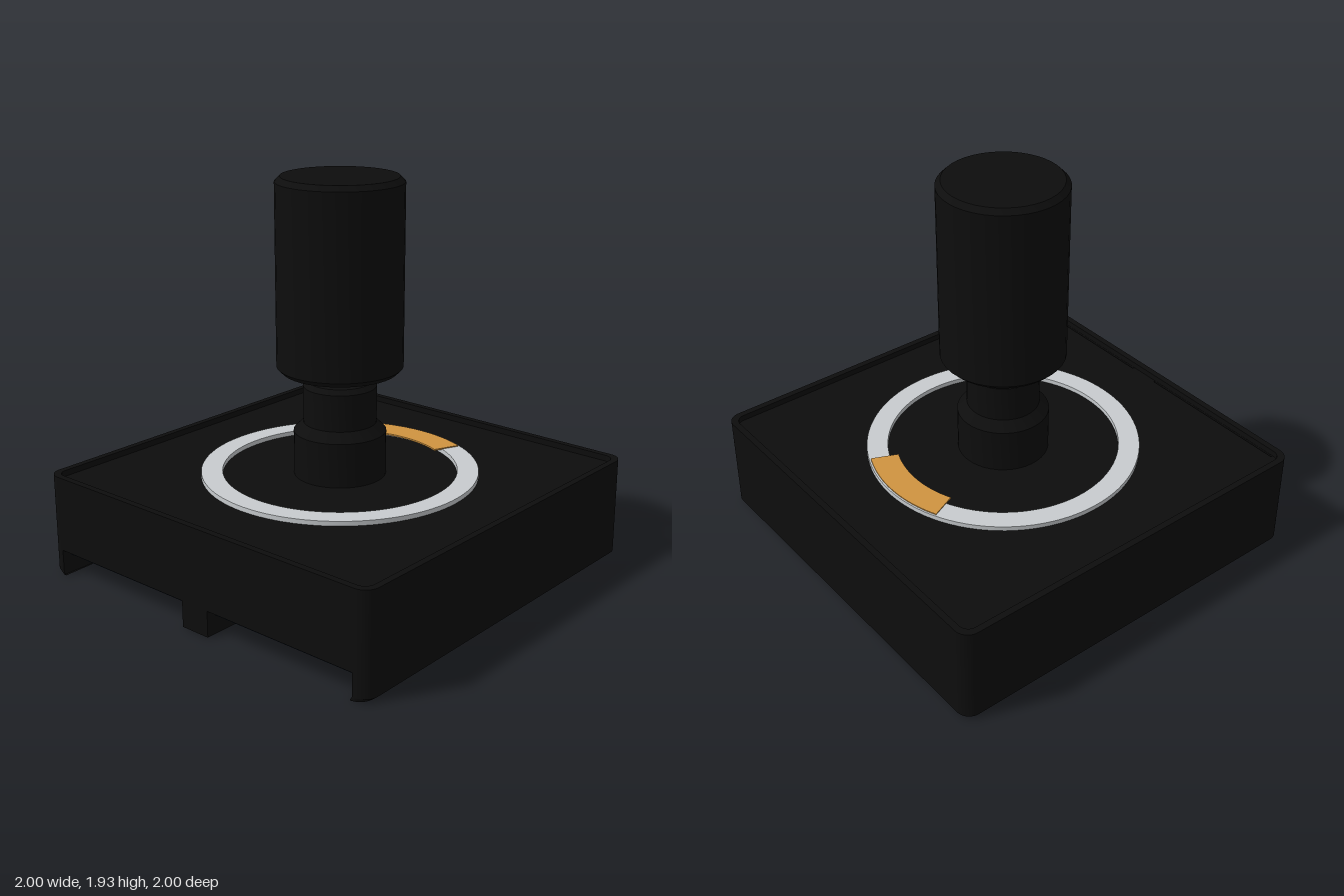
import * as THREE from 'three';
import { toCreasedNormals } from 'three/addons/utils/BufferGeometryUtils.js';

const mat = (name, color) => Object.assign(new THREE.MeshStandardMaterial({ color }), { name });

export function createModel() {
  const black = mat('black plastic', 0x0d0d0d);
  const grey = mat('light ring grey', 0xc8cccf);
  const orange = mat('indicator orange', 0xd09440);
  const gold = mat('pin gold', 0xc09a48);
  const blue = mat('board blue', 0x081c30);

  const group = new THREE.Group();
  const add = (name, geometry, material) => {
    const mesh = new THREE.Mesh(geometry, material);
    mesh.name = name;
    group.add(mesh);
    return mesh;
  };
  // Plan outlines use (x, -z) and are extruded upward from y0 to y1
  const slab = (shape, y0, y1, curveSegments = 8) =>
    new THREE.ExtrudeGeometry(shape, { depth: y1 - y0, bevelEnabled: false, curveSegments })
      .rotateX(-Math.PI / 2).translate(0, y0, 0);

  // Rounded square; optional notches open through its front edge
  const plan = (Type, h, r, notched = false) => {
    const s = new Type();
    s.moveTo(-h + r, -h);
    if (notched) {
      for (const [a, b] of [[-0.92, -0.08], [0.08, 0.92]]) {
        s.lineTo(a, -h);
        s.lineTo(a, -0.53);
        s.lineTo(b, -0.53);
        s.lineTo(b, -h);
      }
    }
    s.lineTo(h - r, -h);
    s.absarc(h - r, -h + r, r, -Math.PI / 2, 0, false);
    s.lineTo(h, h - r);
    s.absarc(h - r, h - r, r, 0, Math.PI / 2, false);
    s.lineTo(-h + r, h);
    s.absarc(-h + r, h - r, r, Math.PI / 2, Math.PI, false);
    s.lineTo(-h, -h + r);
    s.absarc(-h + r, -h + r, r, Math.PI, Math.PI * 1.5, false);
    return s;
  };

  // Lower housing, its bottom edge chamfered at the sides and back
  const lower = slab(plan(THREE.Shape, 1, 0.07, true), 0.02, 0.13);
  add('lowerHousing', lower, black);
  const foot = slab(plan(THREE.Shape, 1, 0.07, true), 0, 0.02);
  const p = foot.attributes.position;
  for (let i = 0; i < p.count; i++) {
    if (p.getY(i) > 0.01) continue;
    if (Math.abs(p.getX(i)) > 0.925) p.setX(i, p.getX(i) * 0.975);
    if (p.getZ(i) < -0.9) p.setZ(i, p.getZ(i) * 0.975);
  }
  foot.computeVertexNormals();
  add('chamferedFoot', foot, black);

  // Main housing with a narrow slit above each connector
  const main = plan(THREE.Shape, 1, 0.07);
  for (const s of [-1, 1]) {
    const a = s * 0.08, b = s * 0.915;
    main.holes.push(new THREE.Path([[a, -0.957], [b, -0.957], [b, -0.967], [a, -0.967]]
      .map(([x, y]) => new THREE.Vector2(x, y))));
  }
  add('mainHousing', slab(main, 0.13, 0.48), black);

  // Raised lip around the top panel
  const lip = plan(THREE.Shape, 1, 0.07);
  lip.holes.push(plan(THREE.Path, 0.968, 0.05));
  add('topLip', slab(lip, 0.48, 0.51), black);

  // Light ring with an indicator segment at the back
  const ring = new THREE.Shape().absarc(0, 0, 0.677, 0, Math.PI * 2, false);
  ring.holes.push(new THREE.Path().absarc(0, 0, 0.573, 0, Math.PI * 2, true));
  add('lightRing', toCreasedNormals(slab(ring, 0.48, 0.503, 48), 0.5), grey);
  const half = 0.415;
  const mark = new THREE.Shape();
  mark.absarc(0, 0, 0.668, Math.PI / 2 - half, Math.PI / 2 + half, false);
  mark.absarc(0, 0, 0.53, Math.PI / 2 + half, Math.PI / 2 - half, true);
  add('ringIndicator', slab(mark, 0.5, 0.508, 24), orange);

  // Turned parts: stepped bushing, shaft and knob
  const turned = (name, pts) => add(name, toCreasedNormals(
    new THREE.LatheGeometry(pts.map(([x, y]) => new THREE.Vector2(x, y)), 40), 0.5), black);
  turned('bushing', [[0.225, 0.47], [0.225, 0.7], [0.178, 0.745], [0.178, 0.925],
    [0.155, 0.948], [0, 0.948]]);
  turned('shaft', [[0.1, 0.94], [0.1, 1.01]]);
  turned('knob', [[0, 1], [0.28, 1], [0.305, 1.025], [0.305, 1.91], [0.28, 1.935], [0, 1.935]]);

  // Circuit boards and six pins inside each connector notch
  for (const s of [-1, 1]) {
    const side = s > 0 ? 'left' : 'right';
    add(side + 'Board', new THREE.BoxGeometry(0.838, 0.035, 0.42), blue)
      .position.set(s * 0.5, 0.111, 0.742);
    for (let i = 0; i < 6; i++) {
      add(side + 'Pin', new THREE.BoxGeometry(0.032, 0.04, 0.24), gold)
        .position.set(s * (0.187 + i * 0.1286), 0.074, 0.66);
    }
  }
  return group;
}
